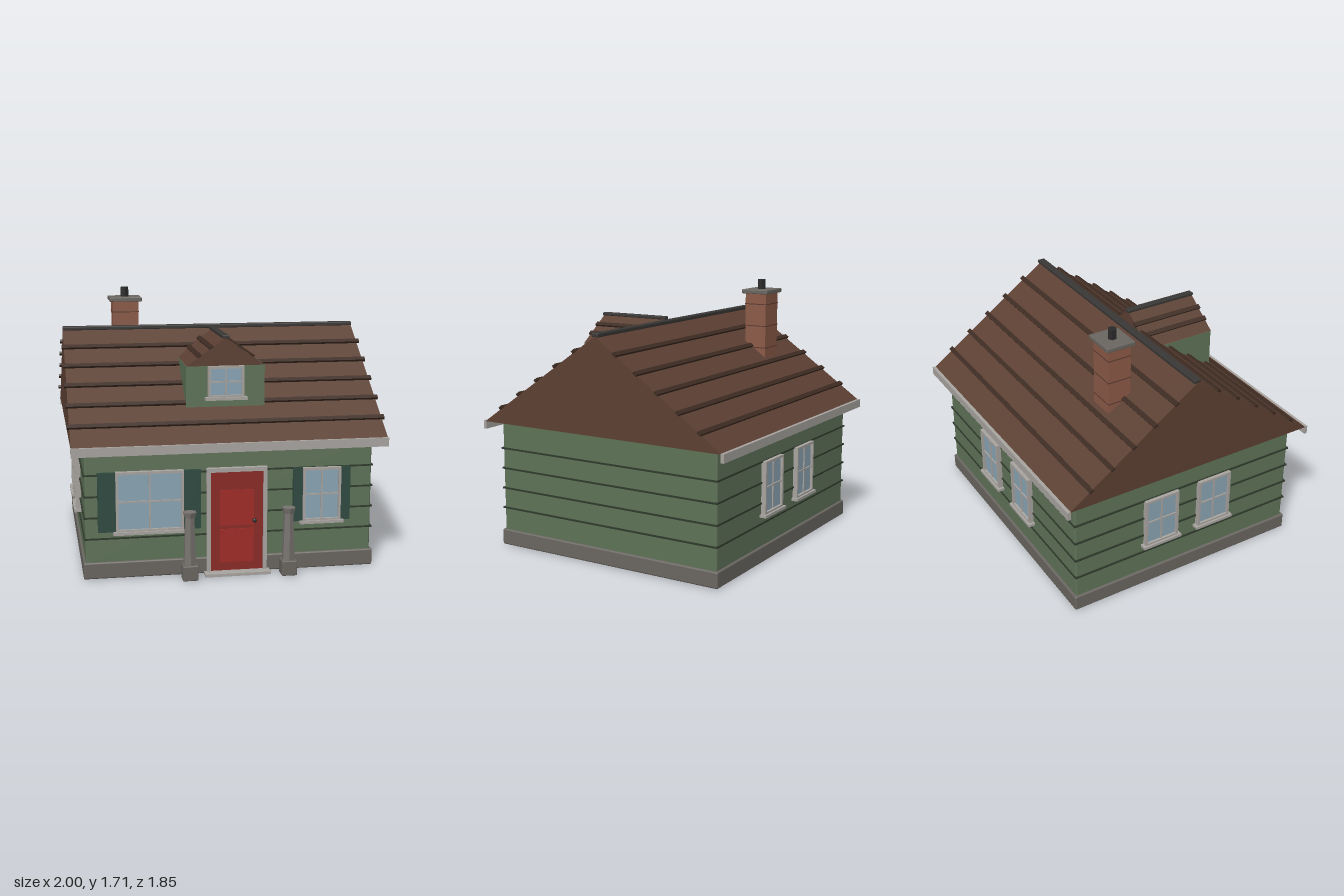
import * as THREE from 'three';
import { RoundedBoxGeometry } from 'three/addons/geometries/RoundedBoxGeometry.js';

const mat = (color, flatShading = false) => new THREE.MeshStandardMaterial({ color, flatShading });
const M = {
  siding: mat(0x5f7358), groove: mat(0x2f3a2c), roof: mat(0x5c4033), batten: mat(0x3d2b22),
  ridge: mat(0x3a3836), stone: mat(0x6a6661), column: mat(0x77736f, true), trim: mat(0xa8a4a0),
  glass: mat(0x8ba5b5), shutter: mat(0x2f4a40), door: mat(0x8a2b27), panel: mat(0xa02c28),
  brick: mat(0x8c5a48), mortar: mat(0x5a3a2f), metal: mat(0x2a2a2a, true),
};

function add(parent, name, geometry, material, x = 0, y = 0, z = 0) {
  const m = new THREE.Mesh(geometry, material);
  m.name = name;
  m.position.set(x, y, z);
  parent.add(m);
  return m;
}

// Box given by its min and max on each axis; r > 0 rounds its edges
function block(parent, name, material, [x0, x1], [y0, y1], [z0, z1], r = 0) {
  const s = [x1 - x0, y1 - y0, z1 - z0];
  const g = r ? new RoundedBoxGeometry(...s, 2, r) : new THREE.BoxGeometry(...s);
  return add(parent, name, g, material, (x0 + x1) / 2, (y0 + y1) / 2, (z0 + z1) / 2);
}

function subgroup(parent, name, x = 0, y = 0, z = 0, turn = 0) {
  const g = new THREE.Group();
  g.name = name;
  g.position.set(x, y, z);
  g.rotation.y = turn;
  parent.add(g);
  return g;
}

// Triangular prism: profile (a, y) extruded along its own z, centred
function gable(a0, a1, peak, y0, y1, length) {
  const s = new THREE.Shape([[a0, y0], [a1, y0], [peak, y1]].map(p => new THREE.Vector2(...p)));
  return new THREE.ExtrudeGeometry(s, { depth: length, bevelEnabled: false }).translate(0, 0, -length / 2);
}

// Window on a wall plane at local z = 0, facing local +z
function windowUnit(parent, name, w, h, pos, turn = 0) {
  const g = subgroup(parent, name, ...pos, turn);
  const t = 0.016, W = w / 2, H = h / 2;
  block(g, 'glass', M.glass, [-W + t, W - t], [-H + t, H - t], [-0.01, 0.012]);
  for (const s of [-1, 1]) {
    add(g, 'frameSide', new THREE.BoxGeometry(t, h, 0.045), M.trim, s * (W - t / 2), 0, 0.006);
    add(g, 'frameRail', new THREE.BoxGeometry(w - 2 * t, t, 0.045), M.trim, 0, s * (H - t / 2), 0.006);
  }
  block(g, 'verticalMuntin', M.trim, [-0.005, 0.005], [-H, H], [0, 0.02]);
  block(g, 'horizontalMuntin', M.trim, [-W, W], [-0.005, 0.005], [0, 0.02]);
  block(g, 'sill', M.trim, [-W - 0.018, W + 0.018], [-H - 0.014, -H + 0.004], [-0.01, 0.042]);
  return g;
}

function createModel() {
  const house = new THREE.Group();
  house.name = 'house';
  const FRONT = 0.78, BACK = -0.835, SIDE = 0.905;

  // Foundation, walls and siding lines
  block(house, 'foundation', M.stone, [-0.92, 0.92], [0.01, 0.115], [-0.85, 0.795], 0.01);
  block(house, 'walls', M.siding, [-SIDE, SIDE], [0.1, 0.855], [BACK, FRONT], 0.012);
  for (let i = 0; i < 4; i++) {
    const y = 0.263 + i * 0.134;
    block(house, 'sidingLine', M.groove, [-0.914, 0.914], [y - 0.005, y + 0.005], [BACK - 0.007, FRONT + 0.007]);
  }

  // Main roof with battens, ridge cap and fascia
  const roof = subgroup(house, 'roof');
  const eaveY = 0.85, ridgeY = 1.465, ridgeZ = -0.028;
  add(roof, 'roofBody', gable(-0.91, 0.855, ridgeZ, eaveY, ridgeY, 1.97).rotateY(-Math.PI / 2), M.roof);
  for (const [s, eaveZ] of [[1, 0.855], [-1, -0.91]]) {
    const pitch = Math.atan2(ridgeY - eaveY, Math.abs(eaveZ - ridgeZ));
    for (let i = 1; i < 6; i++) {
      const t = i / 6;
      const b = add(roof, 'batten', new THREE.BoxGeometry(2, 0.016, 0.03), M.batten,
        0, eaveY + (ridgeY - eaveY) * t + 0.005, eaveZ + (ridgeZ - eaveZ) * t + s * 0.004);
      b.rotation.x = s * pitch;
    }
    block(roof, 'fascia', M.trim, [-0.987, 0.987], [0.8, 0.855],
      s > 0 ? [0.848, 0.868] : [-0.925, -0.903]);
  }
  block(roof, 'ridgeCap', M.ridge, [-0.985, 0.985], [1.46, 1.485], [-0.055, -0.005], 0.006);

  // Dormer
  const dormer = subgroup(house, 'dormer');
  block(dormer, 'dormerWalls', M.siding, [-0.25, 0.25], [1.03, 1.295], [0.1, 0.592]);
  add(dormer, 'dormerRoof', gable(-0.25, 0.25, 0, 1.293, 1.468, 0.5), M.roof, 0, 0, 0.347);
  for (const s of [-1, 1]) for (const x of [0.09, 0.165]) {
    const b = add(dormer, 'dormerBatten', new THREE.BoxGeometry(0.03, 0.016, 0.515), M.batten,
      s * (x + 0.003), 1.468 - 0.7 * x + 0.004, 0.345);
    b.rotation.z = -s * Math.atan(0.7);
  }
  block(dormer, 'dormerRidgeCap', M.ridge, [-0.022, 0.022], [1.462, 1.483], [0.085, 0.6], 0.005);
  windowUnit(dormer, 'dormerWindow', 0.23, 0.2, [0, 1.193, 0.595]);

  // Chimney, running down through the house
  const chimney = subgroup(house, 'chimney', -0.543, 0, -0.353);
  block(chimney, 'stack', M.brick, [-0.088, 0.088], [0.005, 1.625], [-0.078, 0.078]);
  for (const y of [1.25, 1.4, 1.55])
    block(chimney, 'mortarLine', M.mortar, [-0.091, 0.091], [y - 0.003, y + 0.003], [-0.081, 0.081]);
  block(chimney, 'chimneyCap', M.stone, [-0.11, 0.11], [1.622, 1.65], [-0.098, 0.098], 0.005);
  add(chimney, 'chimneyPot', new THREE.CylinderGeometry(0.029, 0.029, 0.07, 6), M.metal, 0, 1.68, 0);

  // Front windows and their shutters
  windowUnit(house, 'largeFrontWindow', 0.42, 0.38, [-0.508, 0.495, FRONT + 0.004]);
  windowUnit(house, 'smallFrontWindow', 0.245, 0.345, [0.578, 0.495, FRONT + 0.004]);
  for (const [x0, x1, y0, y1] of [[-0.828, -0.718, 0.308, 0.682], [-0.3, -0.19, 0.308, 0.682],
    [0.395, 0.458, 0.323, 0.667], [0.698, 0.763, 0.323, 0.667]])
    block(house, 'shutter', M.shutter, [x0, x1], [y0, y1], [FRONT - 0.01, FRONT + 0.022]);

  // Back and side windows
  for (const s of [-1, 1]) {
    windowUnit(house, 'backWindow', 0.245, 0.345, [s * 0.225, 0.495, BACK - 0.004], Math.PI);
    windowUnit(house, 'sideWindow', 0.245, 0.345, [-SIDE - 0.004, 0.495, -0.02 + s * 0.2], -Math.PI / 2);
  }

  // Front door
  const door = subgroup(house, 'frontDoor', 0.036, 0, FRONT);
  block(door, 'doorLeaf', M.door, [-0.17, 0.17], [0.02, 0.665], [-0.01, 0.02]);
  for (const [y0, y1] of [[0.08, 0.295], [0.318, 0.545]])
    block(door, 'doorPanel', M.panel, [-0.107, 0.107], [y0, y1], [0, 0.026]);
  for (const s of [-1, 1])
    add(door, 'doorJamb', new THREE.BoxGeometry(0.024, 0.67, 0.05), M.trim, s * 0.178, 0.35, 0.01);
  block(door, 'doorHeader', M.trim, [-0.19, 0.19], [0.662, 0.687], [-0.015, 0.035]);
  block(door, 'threshold', M.trim, [-0.207, 0.207], [0.008, 0.026], [-0.01, 0.09]);
  add(door, 'doorKnob', new THREE.SphereGeometry(0.014, 12, 8), M.metal, 0.11, 0.345, 0.034);

  // Short porch columns
  for (const x of [-0.273, 0.348]) {
    const post = subgroup(house, 'porchColumn', x, 0, 0.88);
    block(post, 'columnBase', M.stone, [-0.048, 0.048], [0.01, 0.105], [-0.047, 0.047], 0.006);
    add(post, 'columnShaft', new THREE.CylinderGeometry(0.031, 0.042, 0.305, 6), M.column, 0, 0.257, 0);
    add(post, 'columnCapital', new THREE.CylinderGeometry(0.045, 0.036, 0.035, 6), M.column, 0, 0.422, 0);
  }
  return house;
}

export { createModel };
